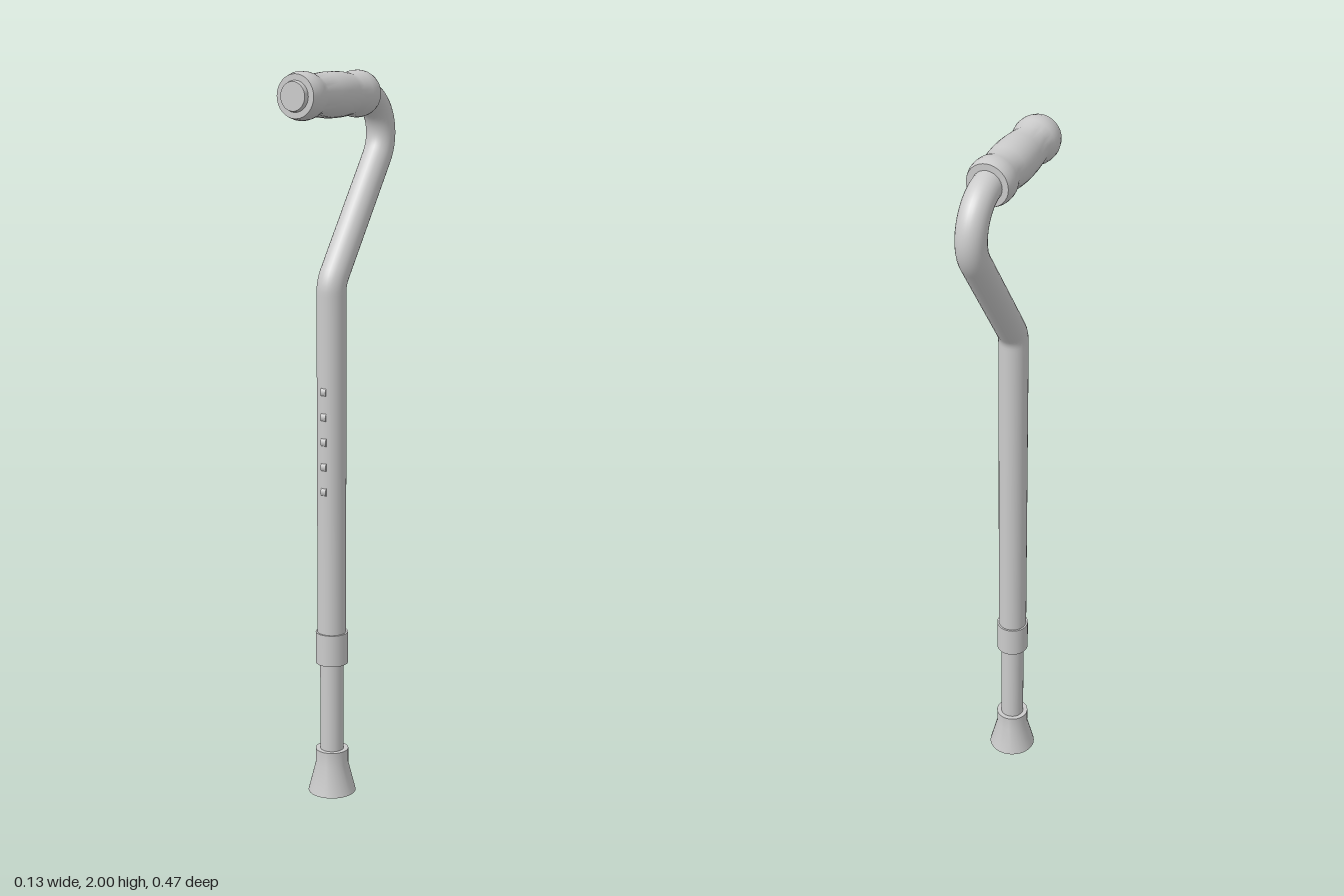
import * as THREE from 'three';
import { toCreasedNormals } from 'three/addons/utils/BufferGeometryUtils.js';

const SHAFT_Z = 0.055;
const GRIP_Y = 1.9375;

export function createModel() {
  const cane = new THREE.Group();
  cane.name = 'walkingCane';
  const material = new THREE.MeshStandardMaterial({ color: 0xcccccc });

  function add(name, geometry, x, y, z) {
    const mesh = new THREE.Mesh(geometry, material);
    mesh.name = name;
    mesh.position.set(x, y, z);
    cane.add(mesh);
    return mesh;
  }

  // Turned solid from [radius, height] pairs listed bottom to top
  function turned(profile, segments = 32) {
    const points = profile.map(([r, h]) => new THREE.Vector2(r, h));
    return toCreasedNormals(new THREE.LatheGeometry(points, segments), 0.5);
  }

  // Bent upper tube: shaft, lower bend, sloping neck, top bend, handle core
  const p = (y, z) => new THREE.Vector3(0, y, z);
  const path = new THREE.CurvePath();
  path.add(new THREE.LineCurve3(p(0.42, SHAFT_Z), p(1.42, SHAFT_Z)));
  path.add(new THREE.QuadraticBezierCurve3(p(1.42, SHAFT_Z), p(1.447, SHAFT_Z), p(1.469, 0.039)));
  path.add(new THREE.LineCurve3(p(1.469, 0.039), p(1.766, -0.174)));
  path.add(new THREE.CubicBezierCurve3(
    p(1.766, -0.174), p(1.839, -0.226), p(GRIP_Y, -0.175), p(GRIP_Y, -0.085)));
  path.add(new THREE.LineCurve3(p(GRIP_Y, -0.085), p(GRIP_Y, 0.2)));
  add('upperTube', new THREE.TubeGeometry(path, 180, 0.04, 28, false), 0, 0, 0);

  // Contoured hand grip, turned along z
  const grip = add('handGrip', turned([
    [0, -0.103], [0.056, -0.103], [0.0605, -0.09], [0.0625, -0.075], [0.0615, -0.057],
    [0.0545, -0.03], [0.058, 0], [0.06, 0.03], [0.0605, 0.055], [0.059, 0.09],
    [0.0535, 0.147], [0.0605, 0.172], [0.0625, 0.186], [0.062, 0.202], [0.056, 0.223], [0, 0.223],
  ]), 0, GRIP_Y, 0);
  grip.rotation.x = Math.PI / 2;

  // End plug in the front of the grip
  const plug = add('gripEndCap', turned([
    [0, 0.21], [0.04, 0.21], [0.04, 0.225], [0.037, 0.235], [0, 0.235],
  ]), 0, GRIP_Y, 0);
  plug.rotation.x = Math.PI / 2;

  // Height adjustment buttons down the front of the shaft
  for (let i = 0; i < 5; i++) {
    const button = add('adjustmentButton' + (i + 1),
      new THREE.CylinderGeometry(0.015, 0.015, 0.016, 14), 0, 0.88 + i * 0.069, SHAFT_Z + 0.029);
    button.rotation.z = Math.PI / 2;
  }

  // Locking collar, telescoping lower tube and flared rubber foot
  add('lockingCollar', new THREE.CylinderGeometry(0.045, 0.045, 0.09, 32), 0, 0.427, SHAFT_Z);
  add('lowerTube', new THREE.CylinderGeometry(0.033, 0.033, 0.4, 28), 0, 0.28, SHAFT_Z);
  add('rubberTip', turned([
    [0, 0], [0.067, 0], [0.046, 0.083], [0.046, 0.126], [0, 0.126],
  ]), 0, 0, SHAFT_Z);

  return cane;
}
